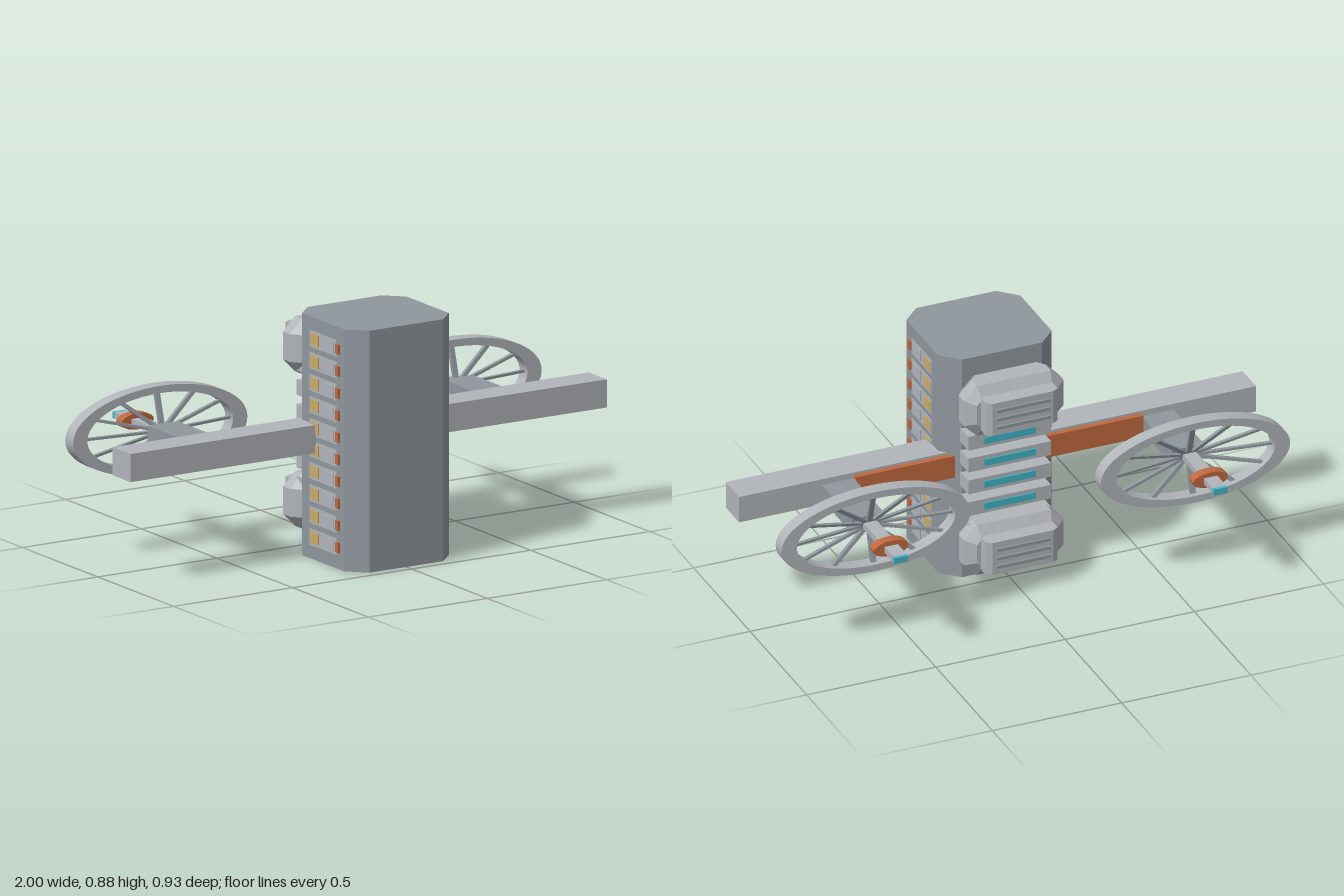
import * as THREE from 'three';

const mat = (name, color) => {
  const m = new THREE.MeshStandardMaterial({ color });
  m.name = name;
  return m;
};

// Prism standing along y from [x, z] corner points
function prism(points, y0, y1) {
  const shape = new THREE.Shape(points.map(([x, z]) => new THREE.Vector2(x, -z)));
  const g = new THREE.ExtrudeGeometry(shape, { depth: y1 - y0, bevelEnabled: false });
  return g.rotateX(-Math.PI / 2).translate(0, y0, 0);
}

// Octagonal cross-sections [z, halfWidth, halfHeight, cornerCut] joined from +z to -z
function octagonLoft(sections) {
  const rings = sections.map(([z, w, h, c]) => [
    [w, c - h, z], [w, h - c, z], [w - c, h, z], [c - w, h, z],
    [-w, h - c, z], [-w, c - h, z], [c - w, -h, z], [w - c, -h, z],
  ]);
  const p = [];
  for (let i = 0; i < rings.length - 1; i++) {
    for (let j = 0; j < 8; j++) {
      const k = (j + 1) % 8, a = rings[i], b = rings[i + 1];
      p.push(...a[j], ...b[j], ...a[k], ...a[k], ...b[j], ...b[k]);
    }
  }
  const first = rings[0], last = rings[rings.length - 1];
  for (let j = 1; j < 7; j++) {
    p.push(...first[0], ...first[j], ...first[j + 1]);
    p.push(...last[0], ...last[j + 1], ...last[j]);
  }
  const g = new THREE.BufferGeometry();
  g.setAttribute('position', new THREE.Float32BufferAttribute(p, 3));
  g.computeVertexNormals();
  return g;
}

export function createModel() {
  const hull = mat('hull grey', 0x8f979e);
  const light = mat('light grey', 0xb1b5ba);
  const rust = mat('rust orange', 0xc0683f);
  const gold = mat('gold', 0xcbab68);
  const cyan = mat('cyan glow', 0x3db4c6);

  const model = new THREE.Group();
  model.name = 'spacecraft';

  const add = (parent, name, geometry, material) => {
    const m = new THREE.Mesh(geometry, material);
    m.name = name;
    parent.add(m);
    return m;
  };
  // Box given by its x, y and z limits
  const box = (parent, name, material, x0, x1, y0, y1, z0, z1) => {
    const g = new THREE.BoxGeometry(Math.abs(x1 - x0), y1 - y0, z1 - z0);
    g.translate((x0 + x1) / 2, (y0 + y1) / 2, (z0 + z1) / 2);
    return add(parent, name, g, material);
  };

  // Tall chamfered hull
  add(model, 'hull', prism([
    [-0.155, 0.465], [0.155, 0.465], [0.22, 0.4], [0.22, 0.122],
    [0.155, 0.058], [-0.155, 0.058], [-0.22, 0.122], [-0.22, 0.4],
  ], 0, 0.885), hull);

  // Cross beam
  box(model, 'crossBeam', light, -1, 1, 0.393, 0.496, 0.098, 0.216);

  for (const s of [1, -1]) {
    const side = s > 0 ? 'left' : 'right';

    // Ten equipment bays down each flank
    for (let i = 0; i < 10; i++) {
      const y = 0.08 + i * 0.0806;
      const bay = new THREE.Group();
      bay.name = `${side}Bay${i + 1}`;
      model.add(bay);
      box(bay, 'bayPanel', light, s * 0.216, s * 0.222, y - 0.03, y + 0.03, 0.174, 0.353);
      box(bay, 'bayHatch', light, s * 0.216, s * 0.225, y - 0.021, y + 0.021, 0.27, 0.338);
      box(bay, 'bayWindow', gold, s * 0.216, s * 0.225, y - 0.021, y + 0.021, 0.182, 0.236);
      box(bay, 'bayLatch', rust, s * 0.216, s * 0.228, y - 0.018, y + 0.018, 0.351, 0.373);
    }

    // Radiator plate behind the beam, and the arm carrying the wheel
    box(model, `${side}Radiator`, rust, s * 0.16, s * 0.556, 0.4, 0.487, 0.077, 0.099);
    box(model, `${side}Arm`, hull, s * 0.557, s * 0.681, 0.415, 0.473, -0.172, 0.1);

    // Oval wheel: a round wheel squashed in height
    const wheel = new THREE.Group();
    wheel.name = `${side}Wheel`;
    wheel.position.set(s * 0.618, 0.445, 0);
    wheel.scale.set(1, 0.44, 1);
    model.add(wheel);

    const ring = new THREE.Shape().absarc(0, 0, 0.366, 0, Math.PI * 2, false);
    ring.holes.push(new THREE.Path().absarc(0, 0, 0.306, 0, Math.PI * 2, true));
    const rim = new THREE.ExtrudeGeometry(ring, { depth: 0.052, bevelEnabled: false, curveSegments: 40 });
    add(wheel, 'rim', rim.translate(0, 0, -0.241), light);

    // Twelve spokes sloping from the arm end out to the rim
    const inner = new THREE.Vector3(0.02, 0, -0.178);
    const outer = new THREE.Vector3(0.32, 0, -0.216);
    const span = outer.clone().sub(inner);
    for (let i = 0; i < 12; i++) {
      const g = new THREE.BoxGeometry(span.length(), 0.02, 0.014);
      g.rotateY(Math.atan2(-span.z, span.x));
      g.translate((inner.x + outer.x) / 2, 0, (inner.z + outer.z) / 2);
      g.rotateZ(i * Math.PI / 6);
      add(wheel, 'spoke', g, hull);
    }

    // Axle with collar and glowing tip
    box(wheel, 'axle', light, -0.026, 0.026, -0.026, 0.026, -0.452, -0.165);
    box(wheel, 'axleTip', cyan, -0.026, 0.026, -0.026, 0.026, -0.465, -0.452);
    const collar = new THREE.CylinderGeometry(0.068, 0.068, 0.036, 20);
    add(wheel, 'collar', collar.rotateX(Math.PI / 2).translate(0, 0, -0.356), rust);
  }

  // Rear fins with glowing strips
  for (let i = 0; i < 6; i++) {
    const y = 0.223 + i * 0.0888;
    box(model, 'rearFin', light, -0.16, 0.16, y - 0.028, y + 0.028, -0.009, 0.07);
    box(model, 'finStrip', cyan, -0.1, 0.1, y - 0.013, y + 0.013, -0.014, -0.008);
  }

  // Two bevelled engine pods with slatted vents
  for (const [name, y] of [['lowerPod', 0.161], ['upperPod', 0.727]]) {
    const pod = new THREE.Group();
    pod.name = name;
    pod.position.y = y;
    model.add(pod);
    add(pod, 'podShell', octagonLoft([
      [0.062, 0.145, 0.076, 0.04], [0.03, 0.17, 0.101, 0.05], [0, 0.193, 0.101, 0.05],
      [-0.045, 0.193, 0.101, 0.05], [-0.074, 0.155, 0.057, 0.02],
    ]), light);
    add(pod, 'vent', prism([
      [-0.139, -0.06], [0.139, -0.06], [0.139, -0.115], [0.118, -0.128],
      [-0.118, -0.128], [-0.139, -0.115],
    ].reverse(), -0.065, 0.065), light);
    for (const dy of [-0.034, 0, 0.034]) {
      box(pod, 'ventSlat', hull, -0.105, 0.105, dy - 0.006, dy + 0.006, -0.136, -0.126);
    }
  }

  return model;
}
